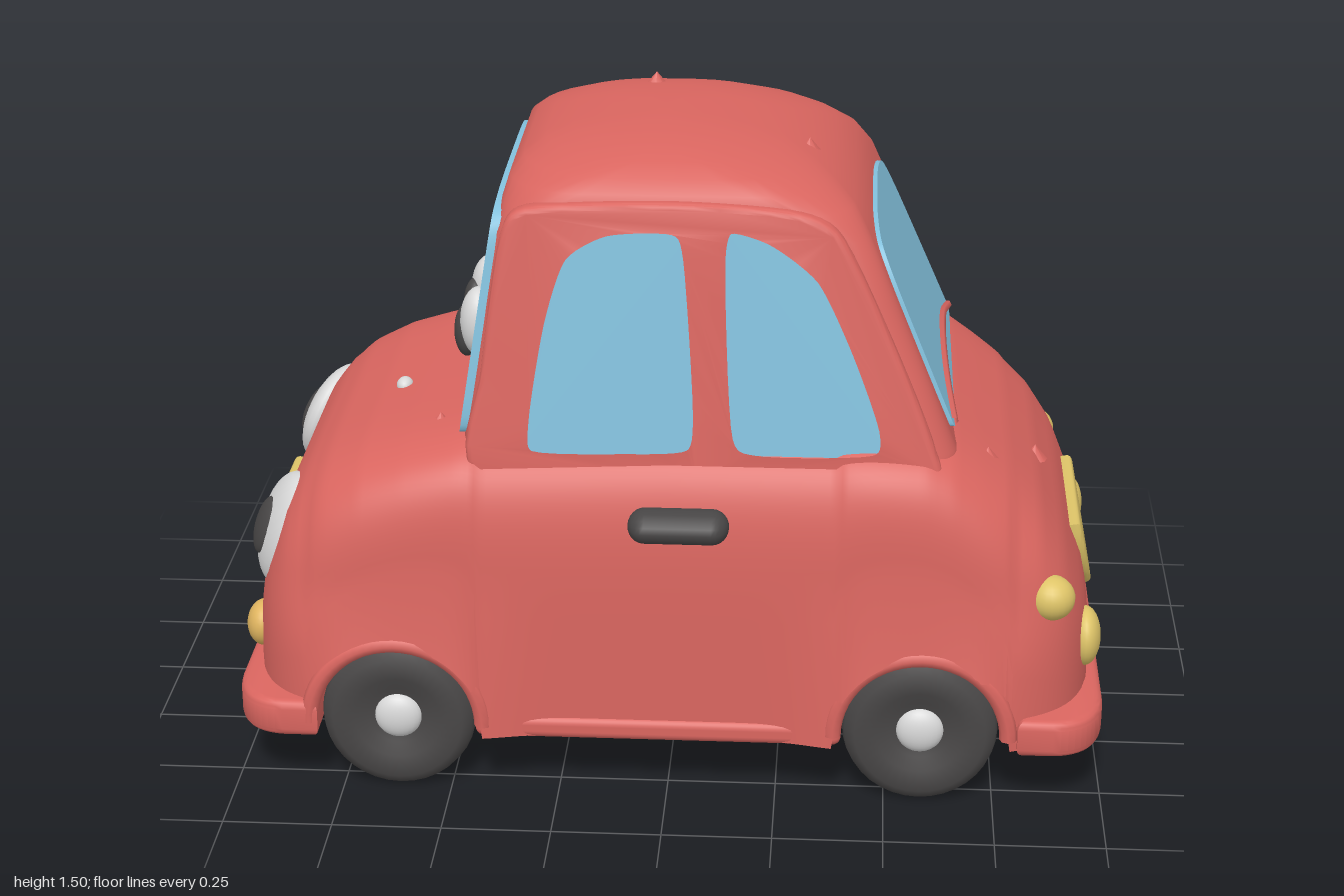
import * as THREE from 'three';
import { toCreasedNormals } from 'three/addons/utils/BufferGeometryUtils.js';
import { RoundedBoxGeometry } from 'three/addons/geometries/RoundedBoxGeometry.js';

const mat = (name, color, side = THREE.FrontSide) => {
  const m = new THREE.MeshStandardMaterial({ color, side });
  m.name = name;
  return m;
};
const M = {
  red: mat('body red', 0xd9655f, THREE.DoubleSide),
  glass: mat('window blue', 0x82c0dc, THREE.DoubleSide),
  dark: mat('rubber grey', 0x484646),
  yellow: mat('lamp yellow', 0xdec468),
  amber: mat('front lamp amber', 0xdfb45f),
  white: mat('eye white', 0xd8d8d8),
};
const WHEELS = [-0.62, 0.58], AXLE_Y = 0.178, ARCH = 0.2;
const { smoothstep, clamp } = THREE.MathUtils;

// Piecewise-linear lookup in a table of [key, value] rows
function lookup(rows, k) {
  let i = 1;
  while (i < rows.length - 1 && rows[i][0] < k) i++;
  const a = rows[i - 1], b = rows[i];
  return a[1] + (b[1] - a[1]) * clamp((k - a[0]) / (b[0] - a[0]), 0, 1);
}

// Skin a list of closed rings of [x, y, z]
function loft(rings, crease) {
  const n = rings[0].length, idx = [];
  for (let i = 0; i < rings.length - 1; i++)
    for (let j = 0; j < n; j++) {
      const k = (j + 1) % n, a = i * n + j, b = i * n + k, c = a + n, d = b + n;
      idx.push(a, c, b, b, c, d);
    }
  const g = new THREE.BufferGeometry();
  g.setAttribute('position', new THREE.Float32BufferAttribute(rings.flat(2), 3));
  g.setIndex(idx);
  return toCreasedNormals(g, crease);
}

// Lower body: hood-to-boot height line, wheel arches, flared fenders, hollow floor
const HEIGHT = [[-0.98, 0.3], [-0.97, 0.4], [-0.95, 0.48], [-0.92, 0.58], [-0.88, 0.67], [-0.84, 0.72], [-0.79, 0.76],
  [-0.7, 0.8], [-0.6, 0.825], [-0.47, 0.85], [0, 0.87], [0.58, 0.87], [0.64, 0.85], [0.7, 0.81], [0.77, 0.76],
  [0.84, 0.69], [0.9, 0.6], [0.95, 0.48], [0.97, 0.38], [0.98, 0.3]];

function bodyRing(x) {
  const W = 0.57 * Math.pow(Math.max(0, 1 - Math.pow(Math.abs(x) / 0.98, 12)), 0.25);
  const h = lookup(HEIGHT, x);
  const e = 0.32 + 0.1 * smoothstep(Math.abs(x), 0.4, 0.8);
  let low = 0.15, flare = 0;
  for (const cx of WHEELS) {
    const d = x - cx;
    if (Math.abs(d) < ARCH) low = Math.max(low, AXLE_Y + Math.sqrt(ARCH * ARCH - d * d));
    flare += 0.04 * Math.exp(-Math.pow(d / 0.27, 4));
  }
  low = Math.min(low, h - 0.05);
  const inner = Math.min(0.42, W * 0.85);
  const half = [[inner, 0.22], [inner, low]];
  for (let i = 0; i < 24; i++) {
    const t = (i / 24) * Math.PI / 2;
    const y = low + (h - low) * Math.pow(Math.sin(t), e);
    const f = 1 - smoothstep(y, 0.3, 0.52);
    half.push([W * Math.pow(Math.cos(t), e) + flare * f * Math.min(1, W / 0.4), y]);
  }
  const right = half.map(([z, y]) => [x, y, z]);
  const left = half.map(([z, y]) => [x, y, -z]).reverse();
  return [[x, 0.22, 0], ...right, [x, h, 0], ...left];
}

// Cabin core: straight sloping walls below the roof curve, corners rounder towards the top
const wallZ = y => 0.476 - 0.14 * (y - 0.83);
const frontX = y => -0.465 + 0.155 * (y - 0.83);
const rearX = y => 0.645 - 0.43 * (y - 0.83);

function cabinRing([y, x0, x1, w]) {
  const cx = (x0 + x1) / 2, hx = (x1 - x0) / 2, ring = [];
  const r = Math.min(0.06 + 0.17 * smoothstep(y, 1.28, 1.48), w * 0.9, hx * 0.9);
  for (let q = 0; q < 4; q++)
    for (let s = 0; s <= 8; s++) {
      const a = (q + s / 8) * Math.PI / 2, sx = q === 0 || q === 3 ? 1 : -1, sz = q < 2 ? 1 : -1;
      ring.push([cx + sx * (hx - r) + r * Math.cos(a), y, sz * (w - r) + r * Math.sin(a)]);
    }
  return ring;
}

export function createModel() {
  const car = new THREE.Group();
  car.name = 'car';
  const add = (name, geo, material, pos = [0, 0, 0], parent = car) => {
    const m = new THREE.Mesh(geo, material);
    m.name = name;
    m.position.set(...pos);
    parent.add(m);
    return m;
  };
  const ball = (name, material, pos, radii, parent = car) => {
    const m = add(name, new THREE.SphereGeometry(1, 24, 16), material, pos, parent);
    m.scale.set(...radii);
    return m;
  };

  const rings = [];
  for (let i = 0; i <= 140; i++) rings.push(bodyRing(-0.98 + 1.96 * i / 140));
  add('lowerBody', loft(rings, 0.75), M.red);

  const levels = [[0.6, -0.42, 0.6, 0.5], [0.75, -0.45, 0.65, 0.487]];
  for (const y of [0.83, 1, 1.16, 1.3]) levels.push([y, frontX(y), rearX(y), wallZ(y)]);
  levels.push([1.36, -0.382, 0.405, 0.406], [1.4, -0.37, 0.355, 0.397], [1.43, -0.345, 0.305, 0.37], [1.455, -0.3, 0.24, 0.325],
    [1.472, -0.24, 0.17, 0.265], [1.484, -0.16, 0.09, 0.18], [1.49, -0.07, 0, 0.08], [1.491, -0.0355, -0.0345, 0.0005]);
  add('cabin', loft(levels.map(cabinRing), 0.9), M.red);

  // Windows: glass on the core, side walls with openings around it
  const outline = points => new THREE.CatmullRomCurve3(points.map(([u, y]) => new THREE.Vector3(u, y, 0)), true, 'catmullrom', 0.35)
    .getPoints(60).slice(0, -1).map(p => new THREE.Vector2(p.x, p.y));
  const plate = (name, shape, material, options, place) => {
    const geo = new THREE.ExtrudeGeometry(shape, options);
    const P = geo.attributes.position;
    for (let i = 0; i < P.count; i++) P.setXYZ(i, ...place(P.getX(i), P.getY(i), P.getZ(i)));
    add(name, toCreasedNormals(geo, 0.6), material);
  };
  const pane = { depth: 1, bevelEnabled: false };
  const panes = {
    frontSideWindow: outline([[-0.31, 0.815], [-0.325, 0.9], [-0.29, 1.12], [-0.24, 1.27], [-0.14, 1.33], [0.01, 1.335],
      [0.045, 1.27], [0.07, 0.92], [0.05, 0.825], [-0.1, 0.812]]),
    rearSideWindow: outline([[0.11, 1.25], [0.13, 1.34], [0.23, 1.315], [0.34, 1.23], [0.42, 1.07], [0.485, 0.89],
      [0.46, 0.822], [0.2, 0.815], [0.13, 0.87]]),
  };
  const wallShape = new THREE.Shape(outline([[-0.43, 0.77], [-0.42, 1], [-0.375, 1.31], [-0.31, 1.375], [0, 1.39],
    [0.27, 1.375], [0.38, 1.32], [0.5, 1.08], [0.595, 0.85], [0.58, 0.77], [0.1, 0.75]]));
  wallShape.holes = Object.values(panes).map(pts => new THREE.Path(pts));
  const wallOptions = { depth: 0.02, bevelThickness: 0.014, bevelSize: 0.014, bevelOffset: -0.014, bevelSegments: 4 };
  for (const s of [-1, 1]) {
    for (const [name, pts] of Object.entries(panes))
      plate(name, new THREE.Shape(pts), M.glass, pane, (u, y, d) => [u, y, s * (wallZ(y) + 0.005 * d)]);
    plate('sideWall', wallShape, M.red, wallOptions, (u, y, d) => [u, y, s * (wallZ(y) - 0.011 + d)]);
  }
  const mirrored = half => new THREE.Shape(outline([...half, ...half.map(([u, y]) => [-u, y]).reverse()]));
  plate('windscreen', mirrored([[0.2, 0.85], [0.4, 0.835], [0.435, 0.88], [0.39, 1.2], [0.355, 1.33], [0.2, 1.365]]),
    M.glass, pane, (u, y, d) => [frontX(y) + 0.03 - 0.042 * d, y, u]);
  plate('rearWindow', mirrored([[0.2, 0.86], [0.37, 0.86], [0.385, 0.9], [0.35, 1.17], [0.3, 1.265], [0.15, 1.292]]),
    M.glass, pane, (u, y, d) => [rearX(y) - 0.02 + 0.03 * d, y, u]);
  const wiper = [[0.37, 0.87], [0.2, 0.905], [0, 0.92], [-0.2, 0.912], [-0.38, 0.87]]
    .map(([z, y]) => new THREE.Vector3(rearX(y) + 0.01, y, z));
  add('wiper', new THREE.TubeGeometry(new THREE.CatmullRomCurve3(wiper), 30, 0.011, 6), M.red);

  // Bumpers
  const plan = new THREE.Shape();
  plan.moveTo(0.82, -0.58);
  plan.lineTo(0.88, -0.58);
  plan.quadraticCurveTo(0.975, -0.575, 0.98, -0.44);
  plan.lineTo(0.98, 0.44);
  plan.quadraticCurveTo(0.975, 0.575, 0.88, 0.58);
  plan.lineTo(0.82, 0.58);
  const bumperGeo = toCreasedNormals(new THREE.ExtrudeGeometry(plan,
    { depth: 0.05, bevelSize: 0.02, bevelThickness: 0.02, bevelSegments: 4, curveSegments: 12 }).rotateX(Math.PI / 2), 0.6);
  for (const end of [0, 1]) add('bumper', bumperGeo, M.red, [0, 0.21, 0]).rotation.y = end * Math.PI;

  // Sills and floor beams
  for (const s of [-1, 1]) add('sill', new RoundedBoxGeometry(0.84, 0.055, 0.05, 3, 0.02), M.red, [-0.02, 0.17, s * 0.555]);
  for (const x of [-0.37, 0.34]) add('floorBeam', new THREE.BoxGeometry(0.04, 0.06, 0.86), M.red, [x, 0.19, 0]);

  // Wheels and arch lips
  const tyre = [[0, -0.068], [0.15, -0.068], [0.172, -0.052], [0.178, -0.03], [0.178, 0.03], [0.172, 0.052], [0.15, 0.068],
    [0.1, 0.065], [0.07, 0.05], [0, 0.045]].map(p => new THREE.Vector2(...p));
  const tyreGeo = toCreasedNormals(new THREE.LatheGeometry(tyre, 36), 0.75);
  for (const x of WHEELS)
    for (const s of [-1, 1]) {
      add('tyre', tyreGeo, M.dark, [x, AXLE_Y, s * 0.5]).rotation.x = s * Math.PI / 2;
      ball('hubcap', M.white, [x, AXLE_Y, s * 0.545], [0.055, 0.055, 0.03]);
      ball('innerHub', M.red, [x, AXLE_Y, s * 0.432], [0.06, 0.06, 0.025]);
      add('archLip', new THREE.TorusGeometry(0.2, 0.02, 8, 28, Math.PI), M.red, [x, AXLE_Y, s * 0.583]);
    }

  // Half discs on the rounded ends; the front one sits lower and steeper
  for (const [e, x, y, tilt, height] of [[1, 0.912, 0.53, -0.2, 0.205], [-1, 0.94, 0.48, -0.1, 0.16]]) {
    const disc = new THREE.Shape();
    disc.absellipse(0, 0, 0.192, height, Math.PI, Math.PI * 2);
    const geo = toCreasedNormals(new THREE.ExtrudeGeometry(disc,
      { depth: 0.028, bevelSize: 0.012, bevelThickness: 0.012, bevelSegments: 4, curveSegments: 32 }), 0.8);
    add('halfDisc', geo, M.yellow, [e * x, y, 0]).rotation.set(tilt, e * Math.PI / 2, 0, 'YXZ');
  }

  for (const s of [-1, 1]) {
    // Lamps
    ball('rearLowerLamp', M.yellow, [0.957, 0.345, s * 0.375], [0.037, 0.07, 0.066]);
    ball('rearUpperLamp', M.yellow, [0.867, 0.497, s * 0.495], [0.055, 0.052, 0.054]);
    ball('frontLamp', M.amber, [-0.957, 0.32, s * 0.37], [0.04, 0.055, 0.055]);

    // Door handle
    add('doorHandle', new THREE.CapsuleGeometry(0.038, 0.15, 6, 16).rotateZ(Math.PI / 2), M.dark, [0.03, 0.697, s * 0.597])
      .scale.z = 1.4;

    // Large headlamp eyes
    const eye = new THREE.Group();
    eye.name = 'headlampEye';
    eye.position.set(-0.9, 0.55, s * 0.352 - 0.015);
    eye.rotation.set(0, s * 0.35, -0.34, 'YXZ');
    car.add(eye);
    ball('eyeWhite', M.white, [0, 0, 0], [0.055, 0.135, 0.128], eye);
    ball('pupil', M.dark, [-0.044, -0.01, -s * 0.018], [0.022, 0.07, 0.057], eye);

    // Small eyes on the windscreen, looking inwards
    const z = s * 0.11 - 0.02;
    ball('smallEyeWhite', M.white, [-0.468, 0.98, z], [0.045, 0.085, 0.055]);
    ball('smallPupil', M.dark, [-0.5, 0.95, z - s * 0.02], [0.03, 0.064, 0.044]);
  }
  ball('hoodSpot', M.white, [-0.65, 0.81, 0.08], [0.02, 0.02, 0.025]);

  // Little bumps in the paint
  for (const [x, y, z] of [[-0.07, 1.485, -0.22], [0.3, 1.43, 0.1], [0.84, 0.69, 0.11], [0.72, 0.78, 0.34], [-0.53, 0.83, 0.33]])
    add('paintBump', new THREE.ConeGeometry(0.03, 0.035, 8), M.red, [x, y, z]);

  return car;
}
